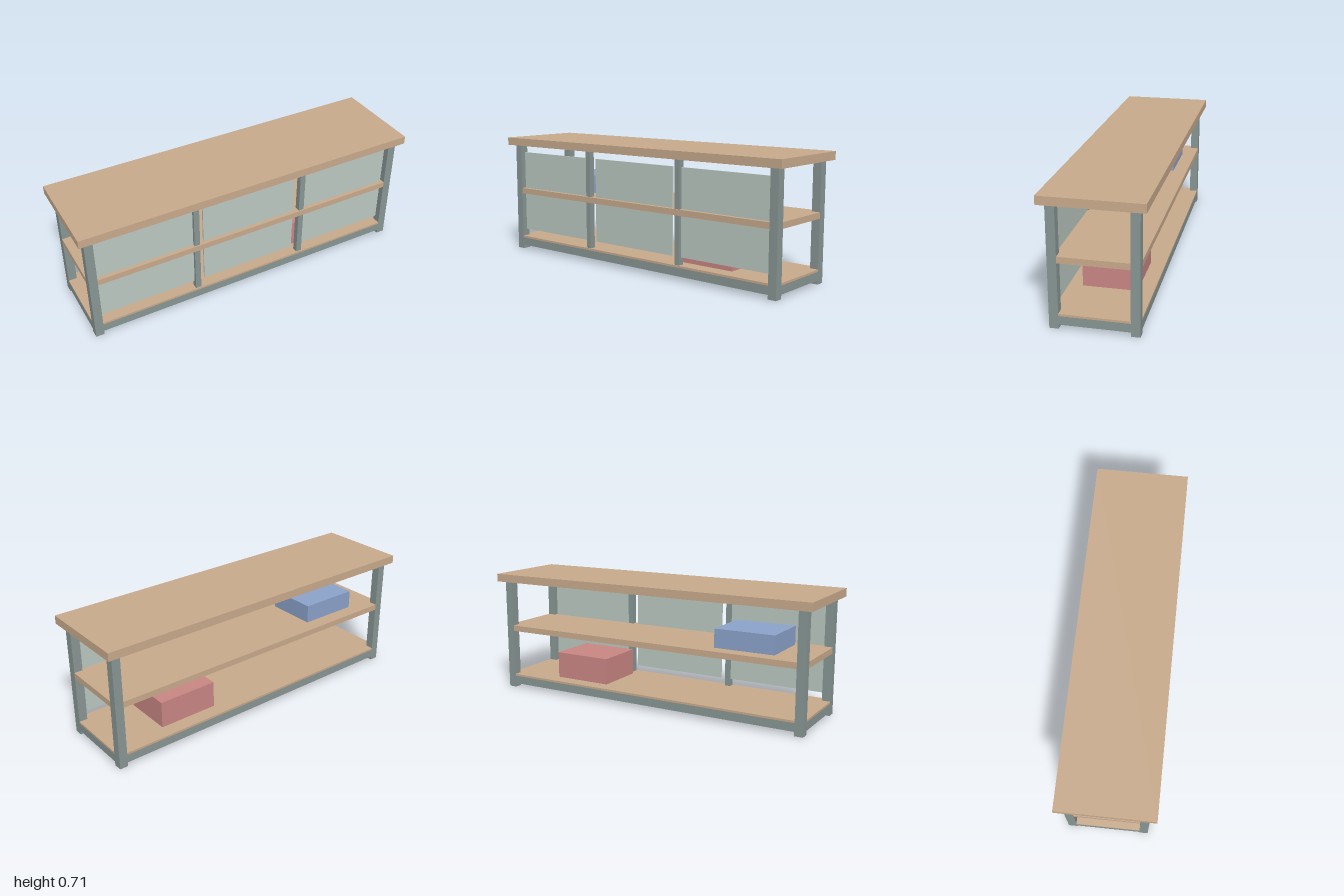
import * as THREE from 'three';

const mat = (name, color) => {
  const m = new THREE.MeshStandardMaterial({ color });
  m.name = name;
  return m;
};

export function createModel() {
  const wood = mat('light wood', 0xc8aa8c);
  const steel = mat('grey frame', 0x889694);
  const panelMat = mat('pale green panel', 0xbbc8c1);
  const red = mat('red', 0xc98683);
  const blue = mat('blue', 0x8ba2ca);

  const model = new THREE.Group();
  model.name = 'shelfUnit';

  // Box given by its lower and upper limits on each axis
  const box = (name, material, [x0, x1], [y0, y1], [z0, z1]) => {
    const mesh = new THREE.Mesh(new THREE.BoxGeometry(x1 - x0, y1 - y0, z1 - z0), material);
    mesh.position.set((x0 + x1) / 2, (y0 + y1) / 2, (z0 + z1) / 2);
    mesh.name = name;
    model.add(mesh);
  };

  // Frame limits: outer and inner faces of the legs
  const X = 0.965, xi = 0.917, Z = 0.23, zi = 0.182;
  const span = (s, a, b) => (s > 0 ? [a, b] : [-b, -a]);

  // Board with its corners notched around the legs
  const shelf = (name, y0, y1) => {
    const s = new THREE.Shape([
      [X, -zi], [X, zi], [xi, zi], [xi, Z], [-xi, Z], [-xi, zi],
      [-X, zi], [-X, -zi], [-xi, -zi], [-xi, -Z], [xi, -Z], [xi, -zi],
    ].map(([x, y]) => new THREE.Vector2(x, y)));
    const g = new THREE.ExtrudeGeometry(s, { depth: y1 - y0, bevelEnabled: false });
    g.rotateX(-Math.PI / 2).translate(0, y0, 0);
    const mesh = new THREE.Mesh(g, wood);
    mesh.name = name;
    model.add(mesh);
  };

  // Top and shelves
  box('tableTop', wood, [-1, 1], [0.66, 0.706], [-0.265, 0.265]);
  shelf('middleShelf', 0.355, 0.389);
  shelf('bottomShelf', 0.07, 0.082);

  // Legs and lower rails
  for (const s of [-1, 1]) {
    for (const t of [-1, 1]) box('leg', steel, span(s, xi, X), [0, 0.66], span(t, zi, Z));
    box('sideRail', steel, span(s, xi, X), [0.023, 0.07], [-zi, zi]);
    box('longRail', steel, [-xi, xi], [0.023, 0.07], span(s, zi, Z));
  }

  // Front posts, cut by the middle shelf
  for (const x of [-0.336, 0.332]) {
    for (const y of [[0.082, 0.355], [0.389, 0.66]]) {
      box('frontPost', steel, [x - 0.0165, x + 0.0165], y, [0.19, 0.223]);
    }
  }

  // Front panels, above and below the middle shelf
  for (const x of [-0.623, -0.002, 0.619]) {
    for (const y of [[0.124, 0.355], [0.389, 0.614]]) {
      box('frontPanel', panelMat, [x - 0.288, x + 0.288], y, [0.197, 0.206]);
    }
  }

  // Storage boxes
  box('redBox', red, [0.293, 0.642], [0.082, 0.236], [-0.147, 0.147]);
  box('blueBox', blue, [-0.763, -0.412], [0.389, 0.495], [-0.147, 0.147]);

  return model;
}
